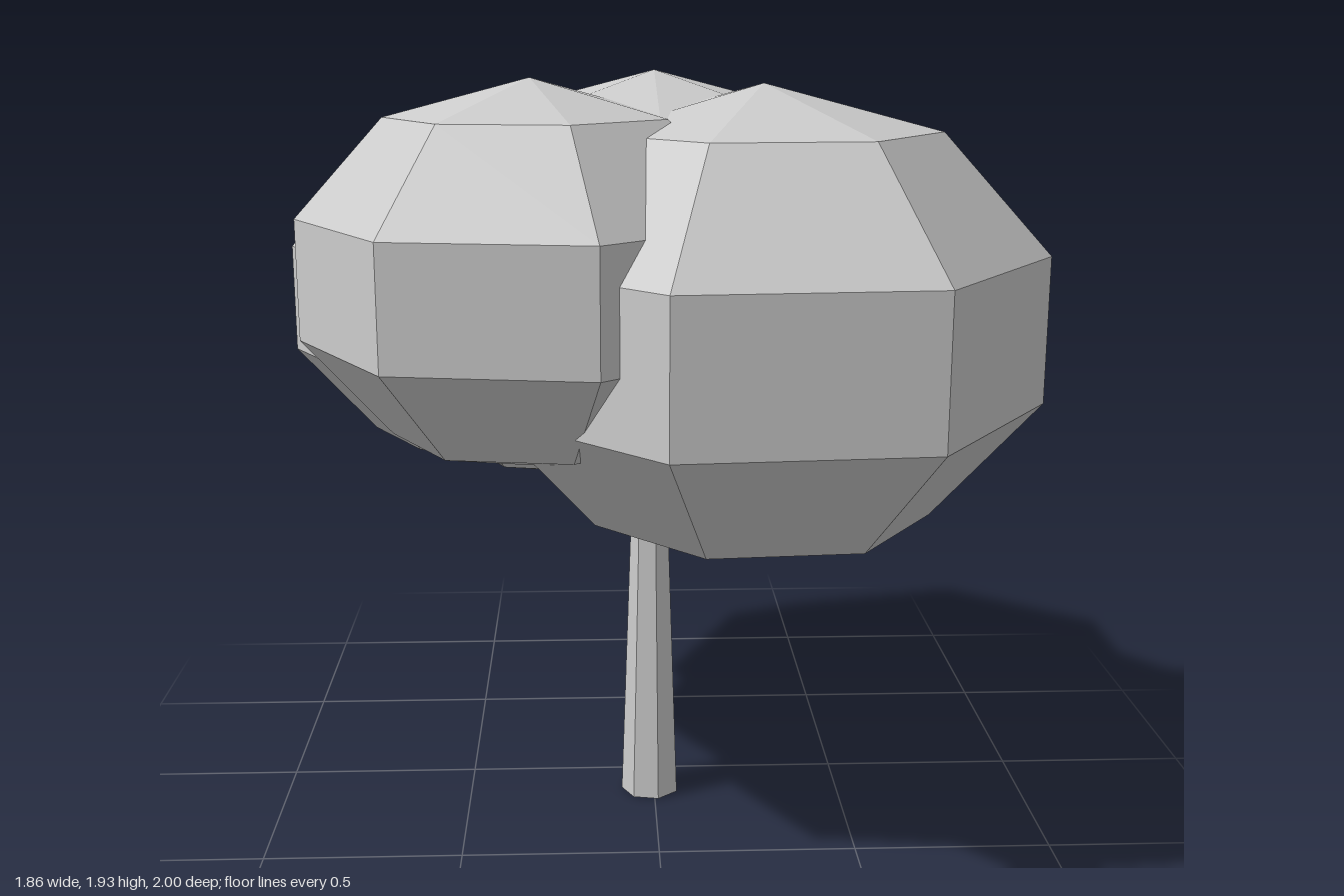
import * as THREE from 'three';

export function createModel() {
  const tree = new THREE.Group();
  tree.name = 'tree';
  const grey = new THREE.MeshStandardMaterial({ color: 0xcccccc, flatShading: true });
  grey.name = 'plain grey';

  // Tapered trunk, running up into the crown
  const trunk = new THREE.Mesh(new THREE.CylinderGeometry(0.032, 0.078, 1.3, 7), grey);
  trunk.name = 'trunk';
  trunk.position.set(-0.01, 0.65, 0.125);
  trunk.rotation.y = 0.25;
  tree.add(trunk);

  // Foliage clumps: slightly squashed faceted balls [name, x, y, z, radius, turn]
  const clumps = [
    ['frontLeftFoliage', 0.25, 1.333, 0.362, 0.722, 0.3],
    ['backFoliage', -0.15, 1.312, -0.365, 0.685, 0],
    ['frontRightFoliage', -0.3, 1.46, 0.4, 0.582, 0.065],
    ['rightFoliage', -0.415, 1.35, -0.02, 0.546, 0.075],
    ['topFoliage', 0, 1.41, 0.122, 0.655, -0.224],
  ];
  for (const [name, x, y, z, radius, turn] of clumps) {
    const clump = new THREE.Mesh(new THREE.SphereGeometry(radius, 7, 5), grey);
    clump.name = name;
    clump.position.set(x, y, z);
    clump.scale.y = 0.8;
    clump.rotation.y = turn;
    tree.add(clump);
  }

  // Thin branches from the trunk into the clumps
  const up = new THREE.Vector3(0, 1, 0);
  function addBranch(name, from, to) {
    const a = new THREE.Vector3(...from);
    const b = new THREE.Vector3(...to);
    const dir = b.clone().sub(a);
    const branch = new THREE.Mesh(new THREE.CylinderGeometry(0.012, 0.022, dir.length(), 5), grey);
    branch.name = name;
    branch.position.copy(a).add(b).multiplyScalar(0.5);
    branch.quaternion.setFromUnitVectors(up, dir.normalize());
    tree.add(branch);
  }
  addBranch('frontRightBranch', [-0.1, 0.81, 0.19], [-0.34, 1.1, 0.38]);
  addBranch('frontLeftBranch', [0.04, 0.82, 0.17], [0.2, 1.1, 0.32]);
  addBranch('backBranch', [-0.03, 0.82, 0.06], [-0.1, 1.1, -0.2]);

  return tree;
}
